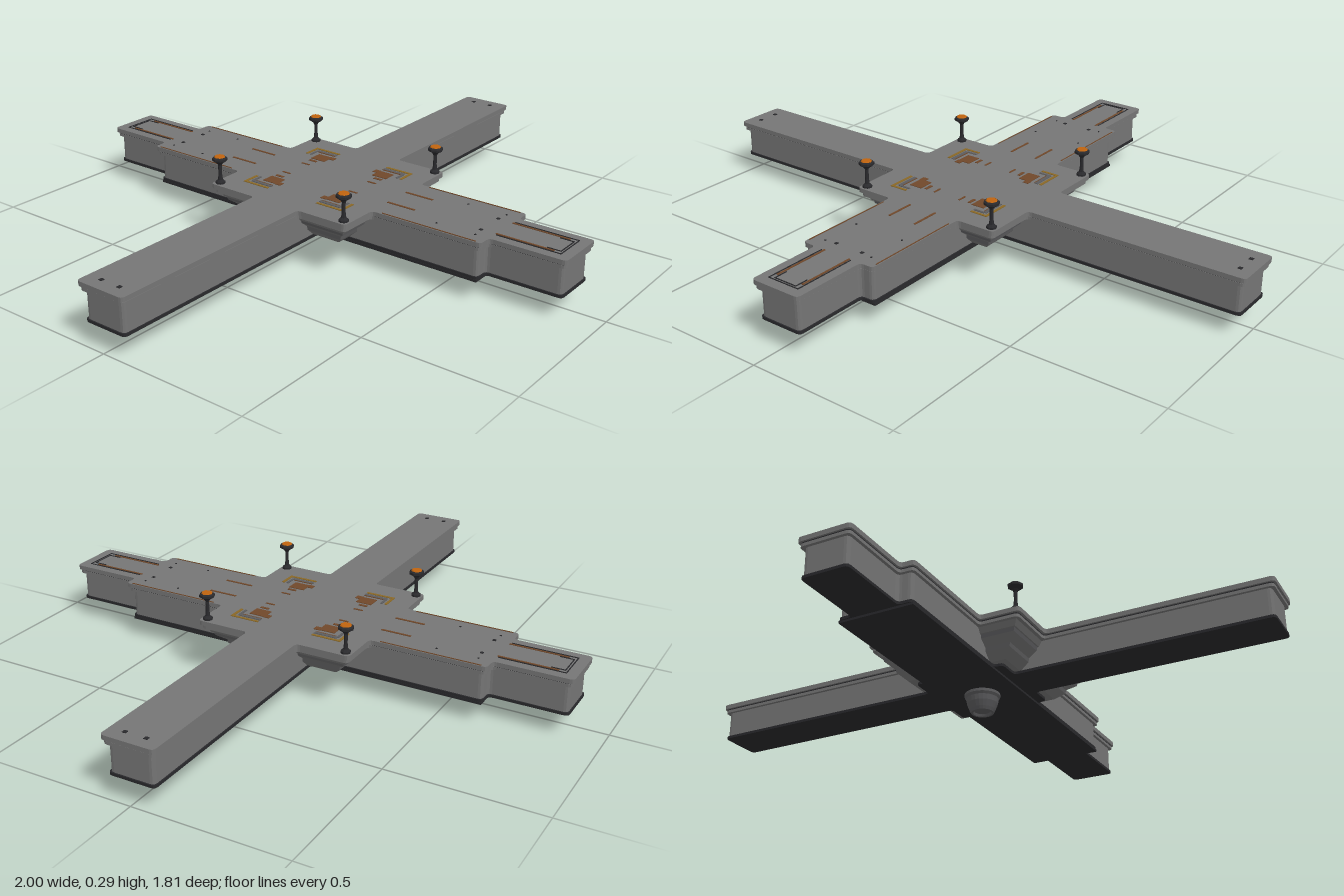
import * as THREE from 'three';

const mat = (name, color) => Object.assign(new THREE.MeshStandardMaterial({ color }), { name });

export function createModel() {
  const root = new THREE.Group();
  root.name = 'crossPlatform';
  const hull = mat('hull grey', 0x757575);
  const trim = mat('trim grey', 0x5c5c5e);
  const dark = mat('underside black', 0x29292c);
  const orange = mat('lamp orange', 0xc0640f);
  const brown = mat('rust brown', 0x70482a);
  const gold = mat('dull gold', 0x8a6826);
  const TOP = 0.197;

  const add = (name, geo, material, x = 0, y = 0, z = 0, parent = root) => {
    const m = new THREE.Mesh(geo, material);
    m.name = name;
    m.position.set(x, y, z);
    parent.add(m);
    return m;
  };

  // Cross plan, inset by d, with a centre block of half size c
  function crossShape(d, c, r = 0.014) {
    const q = [[1 - d, 0.088 - d], [c, 0.088 - d], [c, c], [0.135 - d, c],
      [0.135 - d, 0.655 - d], [0.088 - d, 0.655 - d], [0.088 - d, 0.905 - d]];
    const flip = (sx, sy) => q.map(([x, y]) => new THREE.Vector2(x * sx, y * sy));
    const p = [...flip(1, 1), ...flip(-1, 1).reverse(), ...flip(-1, -1), ...flip(1, -1).reverse()];
    const s = new THREE.Shape();
    p.forEach((v, i) => {
      const toward = (o) => {
        const e = o.clone().sub(v);
        return v.clone().addScaledVector(e.clone().normalize(), Math.min(r, e.length() * 0.4));
      };
      const a = toward(p[(i + p.length - 1) % p.length]);
      const b = toward(p[(i + 1) % p.length]);
      if (i) s.lineTo(a.x, a.y); else s.moveTo(a.x, a.y);
      s.quadraticCurveTo(v.x, v.y, b.x, b.y);
    });
    s.closePath();
    return s;
  }
  const layer = (name, material, y0, y1, d, c) => {
    const g = new THREE.ExtrudeGeometry(crossShape(d, c),
      { depth: y1 - y0, bevelEnabled: false, curveSegments: 3 });
    add(name, g.rotateX(-Math.PI / 2), material, 0, y0, 0);
  };

  // Deck, moulding, walls and dark lower lip
  layer('deckSlab', hull, 0.182, TOP, 0, 0.27);
  layer('deckGroove', dark, 0.178, 0.182, 0.006, 0.262);
  layer('deckMoulding', hull, 0.168, 0.178, 0.005, 0.262);
  layer('wallBody', hull, 0.08, 0.168, 0.015, 0.15);
  layer('lowerLip', dark, 0.071, 0.08, 0.011, 0.155);
  add('undersidePlate', new THREE.BoxGeometry(0.25, 0.008, 1.28), dark, 0, 0.068, 0);

  // Stepped square tiers under the centre block
  const frustum = (a, b, h) => {
    const g = new THREE.CylinderGeometry(a * Math.SQRT2, b * Math.SQRT2, h, 4).rotateY(Math.PI / 4).toNonIndexed();
    g.computeVertexNormals();
    return g;
  };
  [[0.25, 0.24, 0.15, 0.168], [0.235, 0.232, 0.138, 0.15], [0.232, 0.205, 0.118, 0.138],
    [0.205, 0.203, 0.105, 0.118], [0.203, 0.175, 0.08, 0.105]].forEach(([a, b, y0, y1], i) =>
    add('centreTier' + (i + 1), frustum(a, b, y1 - y0), i % 2 ? trim : hull, 0, (y0 + y1) / 2, 0));

  // Round hub below
  const hub = [[0.058, 0.072], [0.058, 0.055], [0.053, 0.047], [0.05, 0.03], [0.042, 0.01], [0.037, 0],
    [0.03, 0], [0.027, 0.008], [0, 0.008]].map(([x, y]) => new THREE.Vector2(x, y)).reverse();
  const hubGeo = new THREE.LatheGeometry(hub, 24).toNonIndexed();
  hubGeo.computeVertexNormals();
  add('lowerHub', hubGeo, trim);

  // Thin painted plate on the deck, mirrored into all four quadrants
  const plate4 = (name, material, x, z, w, l) => {
    for (const sx of [1, -1]) for (const sz of [1, -1])
      add(name, new THREE.BoxGeometry(w, 0.003, l), material, x * sx, TOP + 0.0005, z * sz);
  };
  plate4('armStripe', brown, 0.048, 0.75, 0.006, 0.19);
  plate4('innerStripe', brown, 0.05, 0.32, 0.007, 0.1);
  plate4('channelSide', dark, 0.056, 0.765, 0.003, 0.21);
  plate4('channelSideInner', dark, 0.04, 0.84, 0.003, 0.045);
  plate4('edgeStripe', brown, 0.13, 0.47, 0.003, 0.33);
  for (const s of [1, -1]) {
    add('channelEnd', new THREE.BoxGeometry(0.115, 0.003, 0.003), dark, 0, TOP + 0.0005, 0.87 * s);
    add('channelEndInner', new THREE.BoxGeometry(0.083, 0.003, 0.003), dark, 0, TOP + 0.0005, 0.862 * s);
  }

  // Centre brackets and rust patches
  plate4('bracketLong', gold, 0.188, 0.148, 0.009, 0.1);
  plate4('bracketShort', gold, 0.16, 0.194, 0.06, 0.009);
  plate4('bracketInnerLong', trim, 0.171, 0.138, 0.012, 0.08);
  plate4('bracketInnerShort', trim, 0.15, 0.178, 0.04, 0.008);
  plate4('bracketLine', brown, 0.163, 0.135, 0.003, 0.07);
  plate4('rustPatch', brown, 0.125, 0.127, 0.045, 0.055);
  plate4('rustPatchStep', brown, 0.14, 0.093, 0.02, 0.022);
  plate4('rustDash', brown, 0.087, 0.134, 0.01, 0.03);
  plate4('rustDashInner', brown, 0.05, 0.136, 0.006, 0.032);

  // Small bolt holes
  plate4('armBolt', dark, 0.957, 0.035, 0.012, 0.012);
  plate4('stripeBolt', dark, 0.05, 0.605, 0.01, 0.01);
  plate4('pinHole', dark, 0.09, 0.475, 0.005, 0.005);
  plate4('pinHoleOuter', dark, 0.09, 0.61, 0.005, 0.005);

  // Four corner lamp posts
  const post = [[0, 0], [0.016, 0], [0.016, 0.006], [0.008, 0.013], [0.006, 0.03], [0.006, 0.062],
    [0.011, 0.07], [0.025, 0.079], [0.025, 0.086], [0.02, 0.09], [0, 0.09]].map(([x, y]) => new THREE.Vector2(x, y));
  const postGeo = new THREE.LatheGeometry(post, 8).toNonIndexed();
  postGeo.computeVertexNormals();
  for (const sx of [1, -1]) for (const sz of [1, -1]) {
    const g = new THREE.Group();
    g.name = 'cornerLamp';
    g.position.set(0.248 * sx, TOP, 0.248 * sz);
    add('lampPost', postGeo, dark, 0, 0, 0, g);
    add('lampTop', new THREE.CylinderGeometry(0.016, 0.021, 0.006, 8), orange, 0, 0.09, 0, g);
    root.add(g);
  }
  return root;
}
